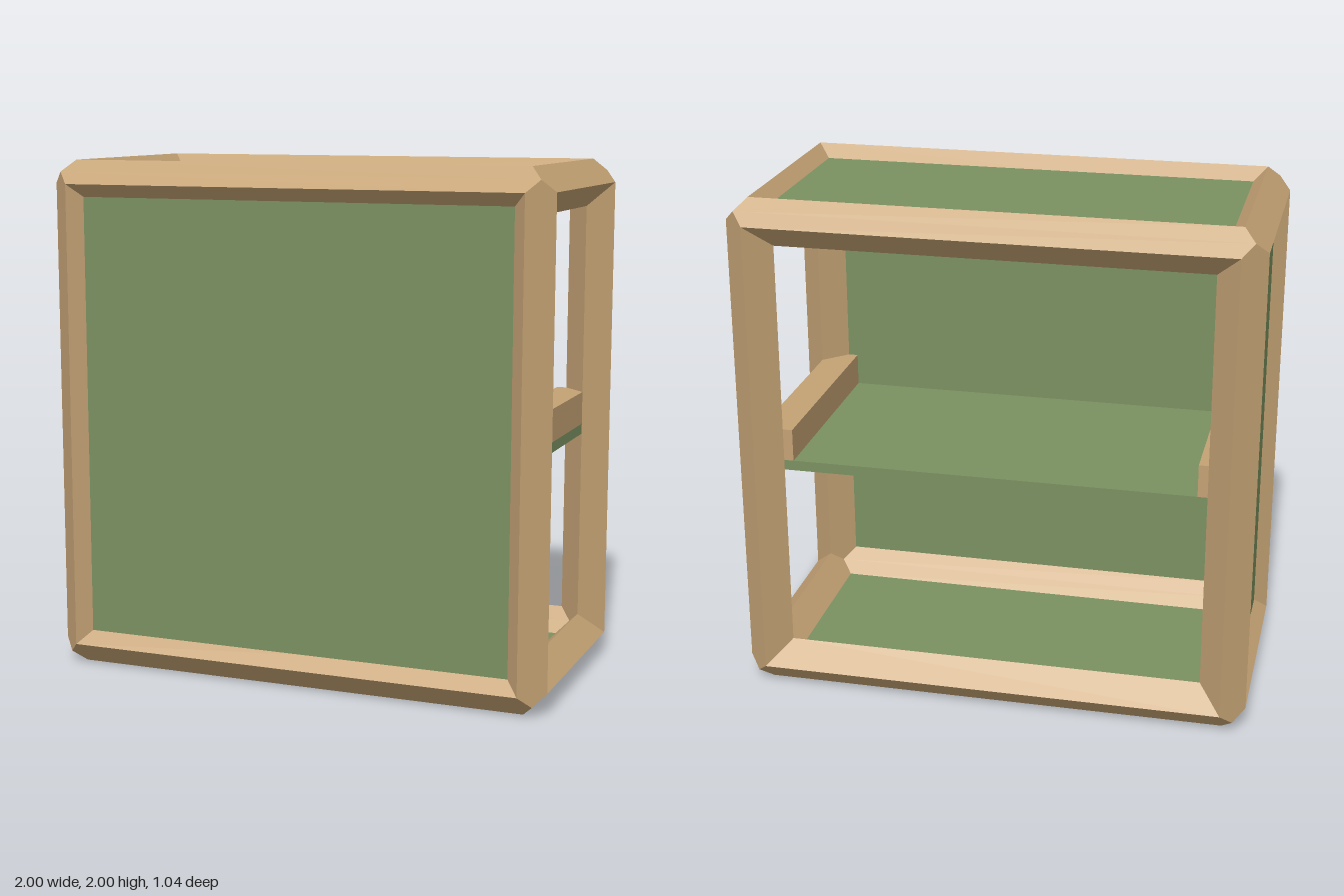
import * as THREE from 'three';

const R = 0.09;                                   // half diagonal of a frame beam
const HALF = new THREE.Vector3(0.91, 0.91, 0.43); // beam centre lines
const MID = 1;                                    // height of the centre
const T = 0.04;                                   // panel thickness

const wood = new THREE.MeshStandardMaterial({ color: 0xc4a274 });
const green = new THREE.MeshStandardMaterial({ color: 0x7a9060 });

// Square bar turned 45 degrees, with each end mitred against the two bars it meets.
// Profile coordinates (a, b) point outward from the cabinet on the two cross axes.
function beamGeometry(axis, signA, signB) {
  const profile = [[R, 0], [R / 2, R / 2], [0, R], [-R, 0], [-R / 2, -R / 2], [0, -R]];
  const axisA = (axis + 1) % 3, axisB = (axis + 2) % 3;
  const point = ([a, b], end) => {
    const p = [0, 0, 0];
    p[axis] = end * (HALF.getComponent(axis) + Math.min(a, b));
    p[axisA] = signA * (HALF.getComponent(axisA) + a);
    p[axisB] = signB * (HALF.getComponent(axisB) + b);
    return p;
  };
  const positions = [];
  const mirrored = signA * signB < 0;
  profile.forEach((p, i) => {
    const q = profile[(i + 1) % profile.length];
    const [p0, q0, q1, p1] = [point(p, -1), point(q, -1), point(q, 1), point(p, 1)];
    const corners = mirrored ? [p0, q1, q0, p0, p1, q1] : [p0, q0, q1, p0, q1, p1];
    positions.push(...corners.flat());
  });
  const geometry = new THREE.BufferGeometry();
  geometry.setAttribute('position', new THREE.Float32BufferAttribute(positions, 3));
  geometry.computeVertexNormals();
  return geometry;
}

export function createModel() {
  const model = new THREE.Group();
  model.name = 'cabinet';

  const box = (name, material, size, position) => {
    const mesh = new THREE.Mesh(new THREE.BoxGeometry(...size), material);
    mesh.name = name;
    mesh.position.set(...position);
    model.add(mesh);
  };

  // Frame: four beams along each axis
  const frame = new THREE.Group();
  frame.name = 'frame';
  frame.position.y = MID;
  ['crossRail', 'post', 'sideRail'].forEach((name, axis) => {
    for (const a of [-1, 1]) for (const b of [-1, 1]) {
      const beam = new THREE.Mesh(beamGeometry(axis, a, b), wood);
      beam.name = name;
      frame.add(beam);
    }
  });
  model.add(frame);

  // Panels: top, bottom, front and one side; the back and the other side are open
  const w = 2 * HALF.x, h = 2 * HALF.y, d = 2 * HALF.z;
  box('topPanel', green, [w, T, d], [0, MID + HALF.y + T / 2, 0]);
  box('bottomPanel', green, [w, T, d], [0, MID - HALF.y - T / 2, 0]);
  box('frontPanel', green, [w, h, T], [0, MID, HALF.z + T / 2]);
  box('sidePanel', green, [T, h, d], [-HALF.x - T / 2, MID, 0]);

  // Shelf with a square bar along each end
  const bar = R * Math.SQRT2;
  box('shelf', green, [w, T, d], [0, 0.94, 0]);
  for (const s of [-1, 1]) {
    box('shelfBar', wood, [bar, bar, d], [s * (HALF.x - bar / 2), 0.96 + bar / 2, 0]);
  }
  return model;
}
